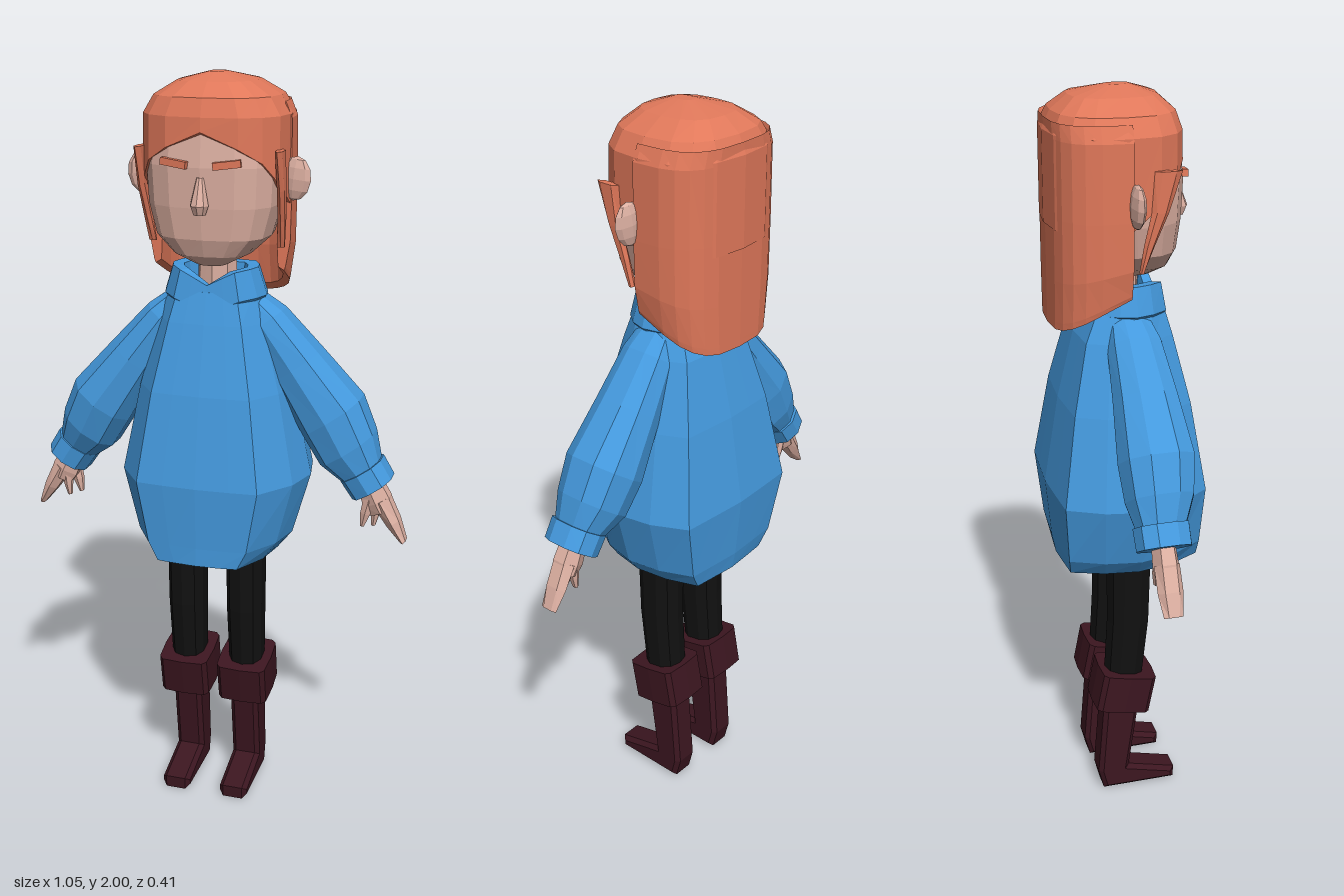
import * as THREE from 'three';

const paint = (color) => new THREE.MeshStandardMaterial({ color, flatShading: true, side: THREE.DoubleSide });
const SKIN = paint(0xddb0a2), HAIR = paint(0xe0785a), KNIT = paint(0x4499dd);
const TIGHTS = paint(0x111111), LEATHER = paint(0x3c1620);
const V = (x, y, z) => new THREE.Vector3(x, y, z);

// Skin a list of equal-length rings into a faceted solid, facing outwards
function loft(rings, caps = true) {
  const tris = [], n = rings[0].length;
  for (let r = 0; r < rings.length - 1; r++) {
    for (let i = 0; i < n; i++) {
      const j = (i + 1) % n, a = rings[r], b = rings[r + 1];
      tris.push([a[i], a[j], b[j]], [a[i], b[j], b[i]]);
    }
  }
  if (caps) {
    const middle = (ring) => ring.reduce((s, p) => s.add(p), V(0, 0, 0)).divideScalar(n);
    const first = rings[0], last = rings[rings.length - 1], c0 = middle(first), c1 = middle(last);
    for (let i = 0; i < n; i++) {
      const j = (i + 1) % n;
      tris.push([first[j], first[i], c0], [last[i], last[j], c1]);
    }
  }
  let volume = 0;
  for (const [a, b, c] of tris) volume += a.dot(V(0, 0, 0).crossVectors(b, c));
  const points = tris.flatMap(([a, b, c]) => (volume < 0 ? [a, c, b] : [a, b, c]));
  const g = new THREE.BufferGeometry().setFromPoints(points);
  g.computeVertexNormals();
  return g;
}

function add(parent, name, geometry, material) {
  const m = new THREE.Mesh(geometry, material);
  m.name = name;
  parent.add(m);
  return m;
}

// Point on a rounded-square outline; angle 0 faces the front
function outline(t, hx, hz, p) {
  const f = (v) => Math.sign(v) * Math.pow(Math.abs(v), 2 / p);
  return [hx * f(Math.sin(t)), hz * f(Math.cos(t))];
}

// Level ring [y, half width, half depth, z centre]
function ring([y, hx, hz, cz = 0], sides = 16, p = 2.7) {
  return Array.from({ length: sides }, (_, i) => {
    const [x, z] = outline((i / sides) * Math.PI * 2, hx, hz, p);
    return V(x, y, z + cz);
  });
}
const stack = (levels, sides, p) => loft(levels.map((l) => ring(l, sides, p)));

// Limb in the xy plane: sections [x, y, half width, half depth, z]
function limb(sections, sides = 8, p = 2.3) {
  const [s, e] = [sections[0], sections[sections.length - 1]];
  const d = new THREE.Vector2(e[0] - s[0], e[1] - s[1]).normalize();
  return loft(sections.map(([x, y, hw, hz, cz = 0]) =>
    Array.from({ length: sides }, (_, i) => {
      const [u, w] = outline((i / sides) * Math.PI * 2, hw, hz, p);
      return V(x - d.y * u, y + d.x * u, cz + w);
    })));
}

// Angular body outline, right half from front to back
const HALF = [[0, 1], [0.35, 0.98], [0.63, 0.95], [0.9, 0.48], [1, 0], [0.93, -0.48], [0.75, -0.94], [0.4, -0.97], [0, -1]];
const OUTLINE = [...HALF, ...HALF.slice(1, -1).reverse().map(([x, z]) => [-x, z])];
const bodyRing = ([y, hx, hz, cz], dip = 0) => OUTLINE.map(([x, z]) =>
  V(x * hx, y - dip * Math.max(0, z) * (1 - Math.min(1, Math.abs(x) / 0.7)), z * hz + cz));

function sweater() {
  const g = new THREE.Group();
  g.name = 'sweater';
  add(g, 'sweaterBody', loft([
    [0.74, 0.175, 0.19, 0.01], [0.79, 0.215, 0.195, 0.005], [0.96, 0.262, 0.206, 0],
    [1.2, 0.21, 0.167, 0], [1.38, 0.155, 0.123, 0], [1.46, 0.125, 0.092, 0.008],
  ].map((l) => bodyRing(l))), KNIT);
  // Folded collar with a dip at the front
  const levels = [[1.4, 0.1, 0.075, 0.015], [1.445, 0.138, 0.093, 0.014], [1.517, 0.115, 0.08, 0.016], [1.515, 0.085, 0.055, 0.016], [1.45, 0.08, 0.05, 0.015]];
  add(g, 'collar', loft(levels.map((l, i) => bodyRing(l, i ? 0.04 : 0))), KNIT);
  return g;
}

function arm(name) {
  const g = new THREE.Group();
  g.name = name;
  add(g, 'sleeve', limb([
    [0.09, 1.43, 0.035, 0.055], [0.135, 1.375, 0.057, 0.072, -0.005], [0.22, 1.26, 0.075, 0.085, -0.01],
    [0.315, 1.13, 0.095, 0.1, -0.012], [0.36, 1.045, 0.087, 0.09, -0.008], [0.405, 0.98, 0.057, 0.063],
  ], 10), KNIT);
  add(g, 'cuff', limb([[0.4, 0.992, 0.065, 0.073], [0.432, 0.943, 0.063, 0.072]], 10), KNIT);
  add(g, 'palm', limb([[0.415, 0.965, 0.036, 0.03], [0.445, 0.905, 0.042, 0.034], [0.458, 0.877, 0.034, 0.03]], 6), SKIN);
  add(g, 'fingers', limb([[0.455, 0.91, 0.028, 0.033], [0.49, 0.85, 0.021, 0.033], [0.52, 0.797, 0.008, 0.025]], 6), SKIN);
  add(g, 'thumb', limb([[0.428, 0.92, 0.019, 0.016, 0.012], [0.416, 0.87, 0.015, 0.014, 0.012], [0.408, 0.832, 0.006, 0.008, 0.012]], 6), SKIN);
  add(g, 'smallFinger', limb([[0.44, 0.9, 0.018, 0.016, -0.012], [0.438, 0.86, 0.012, 0.013, -0.012], [0.434, 0.828, 0.006, 0.008, -0.012]], 6), SKIN);
  return g;
}

function leg(name, side) {
  const g = new THREE.Group();
  g.name = name;
  g.position.x = side * 0.085;
  add(g, 'tights', stack([[0.86, 0.052, 0.06, 0.005], [0.7, 0.053, 0.062, 0.005], [0.55, 0.052, 0.06, 0.003], [0.36, 0.048, 0.055, -0.012]], 10, 2.4), TIGHTS);
  const profile = [[0.035, 0.33], [-0.07, 0.33], [-0.09, 0.06], [-0.075, 0], [0.135, 0], [0.137, 0.035], [0, 0.07]];
  const boot = new THREE.ExtrudeGeometry(new THREE.Shape(profile.map(([z, y]) => new THREE.Vector2(z, y))),
    { depth: 0.056, bevelSize: 0.012, bevelThickness: 0.012, bevelOffset: -0.012, bevelSegments: 1 });
  add(g, 'boot', boot.translate(0, 0, -0.028).rotateY(-Math.PI / 2), LEATHER);
  const cuff = add(g, 'bootCuff', stack([[-0.056, 0.073, 0.08], [0.056, 0.073, 0.08]], 12, 6), LEATHER);
  cuff.position.set(0, 0.335, -0.015);
  cuff.rotation.x = 0.19;
  return g;
}

function head() {
  const g = new THREE.Group();
  g.name = 'head';
  add(g, 'neck', stack([[1.42, 0.055, 0.05], [1.58, 0.05, 0.05]], 8, 2), SKIN);
  add(g, 'face', stack([
    [1.525, 0.04, 0.05, 0.03], [1.555, 0.1, 0.09, 0.03], [1.6, 0.148, 0.127, 0.01], [1.68, 0.17, 0.146, 0],
    [1.78, 0.175, 0.15, 0], [1.87, 0.168, 0.145, -0.005], [1.94, 0.12, 0.1, -0.01],
  ]), SKIN);
  add(g, 'nose', stack([[1.757, 0.009, 0.008, 0.147], [1.69, 0.024, 0.026, 0.155], [1.667, 0.016, 0.016, 0.155]], 8, 2), SKIN);
  for (const s of [-1, 1]) {
    const ear = add(g, s > 0 ? 'leftEar' : 'rightEar', new THREE.SphereGeometry(1, 8, 6).scale(0.042, 0.056, 0.016), SKIN);
    ear.position.set(s * 0.202, 1.742, -0.008);
    ear.rotation.set(0, s * -0.15, s * -0.12);
    const brow = add(g, s > 0 ? 'leftBrow' : 'rightBrow', new THREE.BoxGeometry(0.07, 0.018, 0.016), HAIR);
    brow.position.set(s * 0.068, 1.79, 0.147);
    brow.rotation.set(0, s * 0.17, s * 0.12);
  }
  return g;
}

function hair() {
  const g = new THREE.Group();
  g.name = 'hair';
  // Cap: its lower edge parts at the forehead and drops at the temples
  const edge = [1.865, 1.825, 1.79, 1.735, 1.67];
  const rim = ring([0, 0.19, 0.171, -0.024]);
  rim.forEach((p, i) => { p.y = edge[Math.min(i, 16 - i, 4)]; });
  const upper = [[1.9, 0.188, 0.17, -0.025], [1.945, 0.16, 0.152, -0.022], [1.98, 0.1, 0.11, -0.02], [2, 0.02, 0.03, -0.005]];
  add(g, 'hairCap', loft([rim, ...upper.map((l) => ring(l))]), HAIR);

  // Long back hair: a thick curtain wrapped from side to side
  const steps = 12;
  const curtain = (y, drop, scale, thick) => {
    const row = (t) => Array.from({ length: steps + 1 }, (_, i) => {
      const a = Math.PI * (0.5 + i / steps), back = Math.max(0, -Math.cos(a));
      const [x, z] = outline(a, 0.192 * scale - t, 0.178 - t, 3.2);
      return V(x, y - drop * Math.pow(back, 0.7), z - 0.012);
    });
    return [...row(0), ...row(thick).reverse()];
  };
  add(g, 'backHair', loft([
    curtain(1.93, 0, 0.9, 0), curtain(1.89, 0, 0.99, 0.03), curtain(1.7, 0, 1, 0.035),
    curtain(1.58, 0.04, 0.99, 0.035), curtain(1.515, 0.085, 0.93, 0.02), curtain(1.505, 0.095, 0.91, 0),
  ], false), HAIR);

  // Thin locks beside the ears
  for (const s of [-1, 1]) {
    const lock = [[1.82, 0.183, 0.035, 0.075], [1.72, 0.183, 0.022, 0.055], [1.64, 0.178, 0.014, 0.03], [1.57, 0.172, 0.006, 0.012]];
    add(g, s > 0 ? 'leftLock' : 'rightLock', loft(lock.map(([y, x, hz, z]) =>
      ring([y, 0.011, hz, z], 6, 2).map((p) => p.setX(p.x + s * x)))), HAIR);
  }
  return g;
}

export function createModel() {
  const model = new THREE.Group();
  model.name = 'girlInSweater';
  const rightArm = arm('rightArm');
  rightArm.rotation.y = Math.PI;
  model.add(sweater(), arm('leftArm'), rightArm, leg('leftLeg', 1), leg('rightLeg', -1), head(), hair());
  return model;
}
